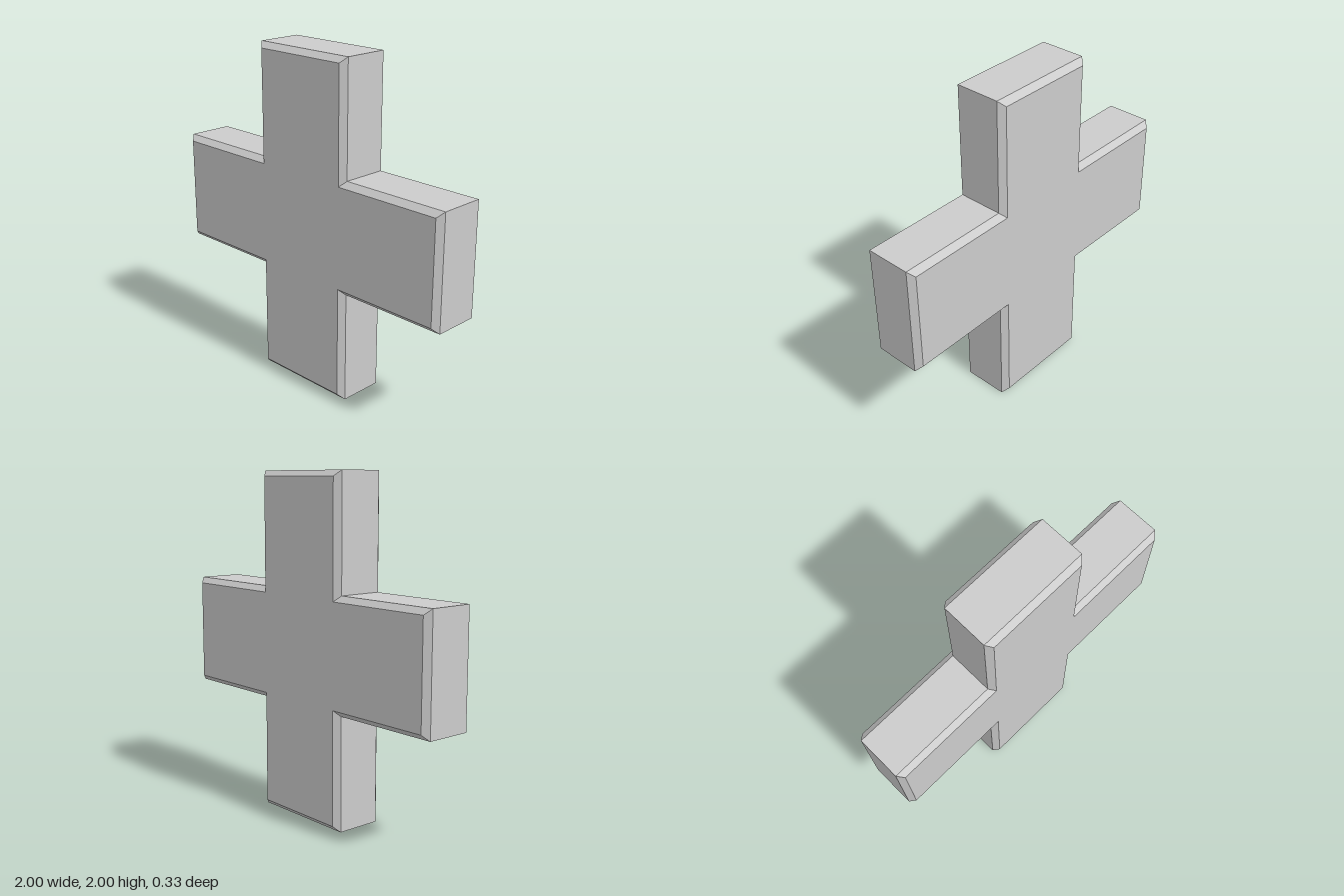
import * as THREE from 'three';

export function createModel() {
  const group = new THREE.Group();
  const reach = 1;          // centre to arm tip
  const half = 1 / 3;       // half the arm width
  const thickness = 1 / 3;
  const bevel = 0.033;

  // Plus-shaped outline: one arm's three corners, turned four times
  const arm = [[reach, -half], [reach, half], [half, half]];
  const points = [];
  for (let i = 0; i < 4; i++) {
    for (const [x, y] of arm) {
      points.push(new THREE.Vector2(x, y).rotateAround(new THREE.Vector2(), i * Math.PI / 2));
    }
  }

  // Chamfered slab, centred in depth and standing on the ground
  const depth = thickness - 2 * bevel;
  const geometry = new THREE.ExtrudeGeometry(new THREE.Shape(points), {
    depth,
    bevelEnabled: true,
    bevelThickness: bevel,
    bevelSize: bevel,
    bevelOffset: -bevel,
    bevelSegments: 1,
  });
  geometry.translate(0, reach, -depth / 2);

  const material = new THREE.MeshStandardMaterial({ color: 0xcccccc, flatShading: true });
  const cross = new THREE.Mesh(geometry, material);
  cross.name = 'cross';
  group.add(cross);
  return group;
}
